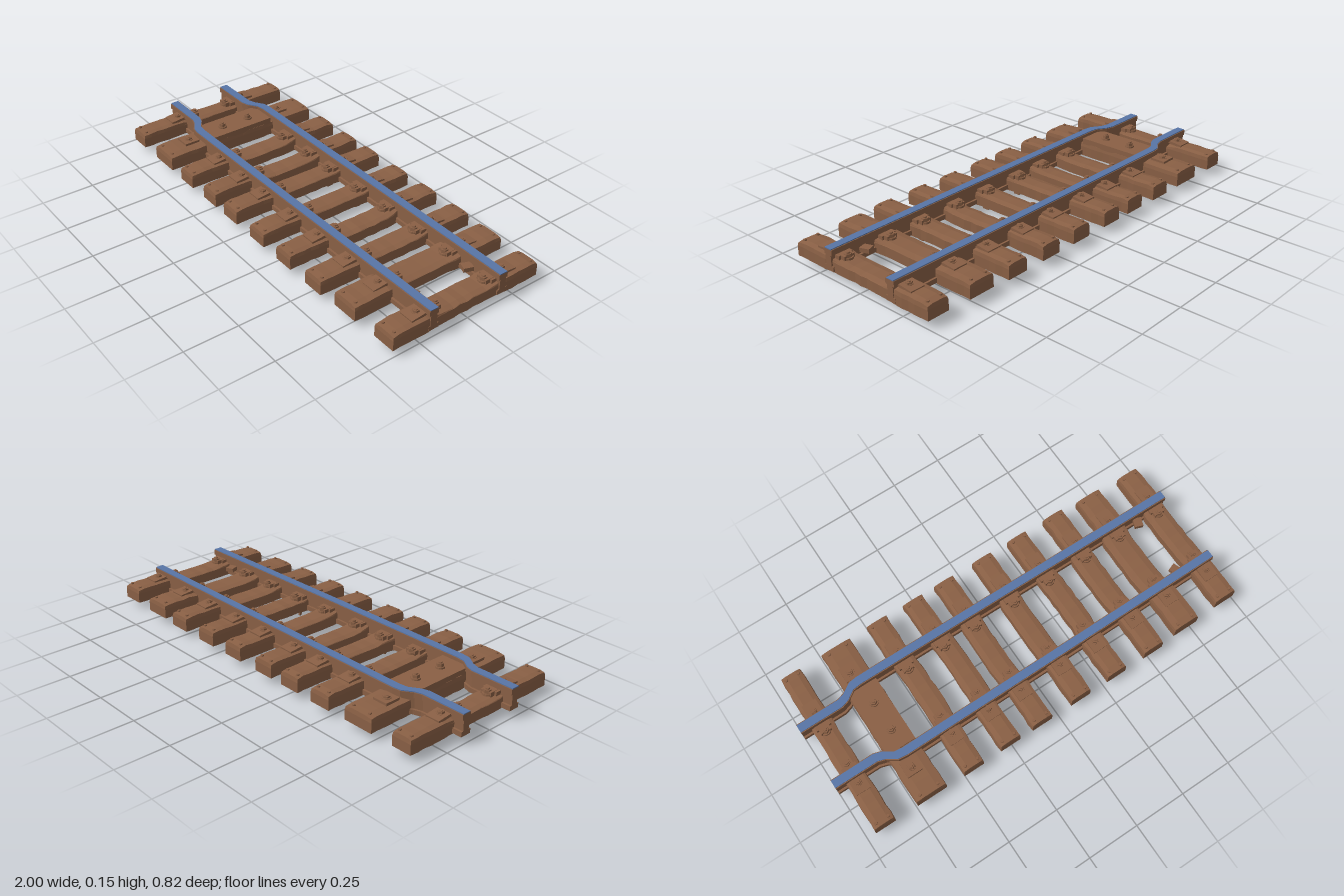
import * as THREE from 'three';

// Sleepers: [centre x, width, half length, sideways bow of the middle]
const SLEEPERS = [
  [-0.905, 0.10, 0.405, 0.0], [-0.67, 0.15, 0.405, 0.0], [-0.453, 0.104, 0.408, 0.008],
  [-0.26, 0.104, 0.405, 0.012], [-0.09, 0.104, 0.405, -0.008], [0.12, 0.104, 0.405, -0.006],
  [0.315, 0.102, 0.405, 0.012], [0.522, 0.106, 0.405, -0.006], [0.716, 0.13, 0.394, -0.012],
  [0.943, 0.11, 0.386, -0.006],
];
const BASE = 0.035, TOP = 0.105;
const RAIL_PATH = [[-1, 0.147], [-0.79, 0.147], [-0.755, 0.158], [-0.71, 0.188], [-0.67, 0.193], [0.1, 0.19], [1, 0.184]];

const wobble = (a, b) => {
  const s = Math.sin(a * 127.1 + b * 311.7) * 43758.5453;
  return s - Math.floor(s) - 0.5;
};

export function createModel() {
  const group = new THREE.Group();
  const wood = new THREE.MeshStandardMaterial({ color: 0x8a6045, flatShading: true });
  wood.name = 'rusty brown';
  const steel = new THREE.MeshStandardMaterial({ color: 0x5875a6, flatShading: true });
  steel.name = 'worn blue steel';

  const add = (parent, name, geometry, x = 0, y = 0, z = 0, material = wood) => {
    const mesh = new THREE.Mesh(geometry, material);
    mesh.name = name;
    mesh.position.set(x, y, z);
    parent.add(mesh);
    return mesh;
  };

  // Worn beam: sagging and bowed in the middle, with softened upper edges
  function sleeperGeometry(w, half, bow, seed, sag) {
    const g = new THREE.BoxGeometry(w, TOP - BASE, half * 2, 4, 3, 22);
    const p = g.attributes.position;
    for (let i = 0; i < p.count; i++) {
      let x = p.getX(i), y = p.getY(i), z = p.getZ(i);
      const zi = Math.round(z * 100);
      const t = Math.max(0, 1 - Math.pow(Math.abs(z) / 0.2, 4));
      const isTop = y > 0.034, side = Math.abs(x) > w * 0.49;
      const end = Math.abs(z) > half - 0.001;
      if (isTop) {
        y += wobble(zi, seed) * 0.003 - sag * t;
        if (side) y -= 0.005;
        if (end) { y -= 0.004; z *= 0.992; }
      }
      if (side) x += wobble(zi + Math.sign(x) * 7, seed + 3) * 0.005 - Math.sign(x) * (isTop ? 0.003 : 0);
      x += bow * t;
      p.setXYZ(i, x, y, z);
    }
    g.computeVertexNormals();
    return g;
  }

  // Hexagonal nut on a washer with a bolt end
  function bolt(parent, name, x, y, z, r, h) {
    const b = new THREE.Group();
    b.name = name;
    b.position.set(x, y, z);
    add(b, 'washer', new THREE.CylinderGeometry(r * 1.25, r * 1.3, h * 0.3, 12), 0, h * 0.15, 0);
    add(b, 'nut', new THREE.CylinderGeometry(r * 0.92, r, h * 0.5, 6), 0, h * 0.55, 0);
    add(b, 'boltEnd', new THREE.CylinderGeometry(r * 0.5, r * 0.55, h * 0.2, 8), 0, h * 0.9, 0);
    parent.add(b);
  }

  SLEEPERS.forEach(([x, w, half, bow], i) => {
    const s = new THREE.Group();
    s.name = `sleeperAssembly${i + 1}`;
    s.position.x = x;
    group.add(s);
    const wide = i === 1;
    add(s, 'sleeper', sleeperGeometry(w, half, bow, i + 1, wide ? 0 : 0.017), 0, (BASE + TOP) / 2, 0);
    // Raised deck between the rails on the wide sleeper
    if (wide) add(s, 'raisedDeck', new THREE.BoxGeometry(w * 0.96, 0.03, 0.33), 0, 0.11, 0);

    for (const side of [-1, 1]) {
      const shift = i === 0 ? -0.04 : 0;
      if (wide) {
        bolt(s, 'deckBolt', 0.005, 0.124, side * 0.073, 0.017, 0.028);
        add(s, 'outerPlate', new THREE.BoxGeometry(0.075, 0.014, 0.075), -0.01, 0.108, side * 0.258);
        bolt(s, 'plateBolt', -0.01, 0.113, side * 0.258, 0.017, 0.014);
      } else {
        // Sloping plate outside the rail
        const plate = add(s, 'outerPlate', new THREE.BoxGeometry(0.07, 0.013, 0.075), 0, 0.108, side * (0.24 + shift));
        plate.rotation.x = side * 0.1;
        bolt(s, 'outerBolt', 0, 0.111, side * (0.228 + shift), 0.016, 0.016);
        // Clip and bolt inside the rail
        add(s, 'innerClip', new THREE.BoxGeometry(0.052, 0.022, 0.055), 0, 0.099, side * (0.148 + shift));
        bolt(s, 'innerBolt', 0, 0.092, side * (0.13 + shift), 0.018, 0.03);
        for (const e of [-1, 1])
          add(s, 'clipFinger', new THREE.BoxGeometry(0.012, 0.018, 0.035), e * 0.03, 0.1, side * (0.16 + shift));
      }
      // Nail heads near the ends
      for (const e of [-1, 1])
        add(s, 'nail', new THREE.CylinderGeometry(0.007, 0.008, 0.006, 8), e * w * 0.3, TOP + 0.001, side * (half - 0.022));
      // Spike tips coming through underneath
      if (i > 1 && i < 9) {
        const depth = 0.022 + Math.abs(wobble(i, side)) * 0.02 + (i === 8 ? 0.005 : 0);
        const tip = add(s, 'spikeTip', new THREE.CylinderGeometry(0.012, 0.007, depth, 5), -0.012, BASE + 0.002 - depth / 2, side * 0.15);
        tip.rotation.x = side * 0.12;
        add(s, 'smallSpikeTip', new THREE.BoxGeometry(0.03, 0.018, 0.03), 0.018, BASE - 0.006, side * 0.126);
      }
    }
  });

  // One horizontal layer of a rail, following its path in plan
  function railLayer(halfWidth, y0, y1, side) {
    const a = RAIL_PATH.map(([x, z]) => new THREE.Vector2(x, -side * z + halfWidth));
    const b = RAIL_PATH.map(([x, z]) => new THREE.Vector2(x, -side * z - halfWidth)).reverse();
    const g = new THREE.ExtrudeGeometry(new THREE.Shape([...a, ...b]), { depth: y1 - y0, bevelEnabled: false });
    g.rotateX(-Math.PI / 2);
    g.translate(0, y0, 0);
    return g;
  }

  for (const side of [-1, 1]) {
    const rail = new THREE.Group();
    rail.name = side > 0 ? 'frontRail' : 'backRail';
    group.add(rail);
    add(rail, 'railFoot', railLayer(0.026, 0.04, 0.062, side));
    add(rail, 'railWeb', railLayer(0.016, 0.062, 0.112, side));
    add(rail, 'railHead', railLayer(0.023, 0.112, 0.137, side));
    add(rail, 'railTop', railLayer(0.019, 0.137, 0.141, side), 0, 0, 0, steel);
    // Loose clip beside the rail near the end
    const clip = add(rail, 'looseClip', new THREE.BoxGeometry(0.04, 0.02, 0.045), 0.835, 0.085, side * 0.146);
    clip.rotation.y = side * 0.35;
  }
  return group;
}
